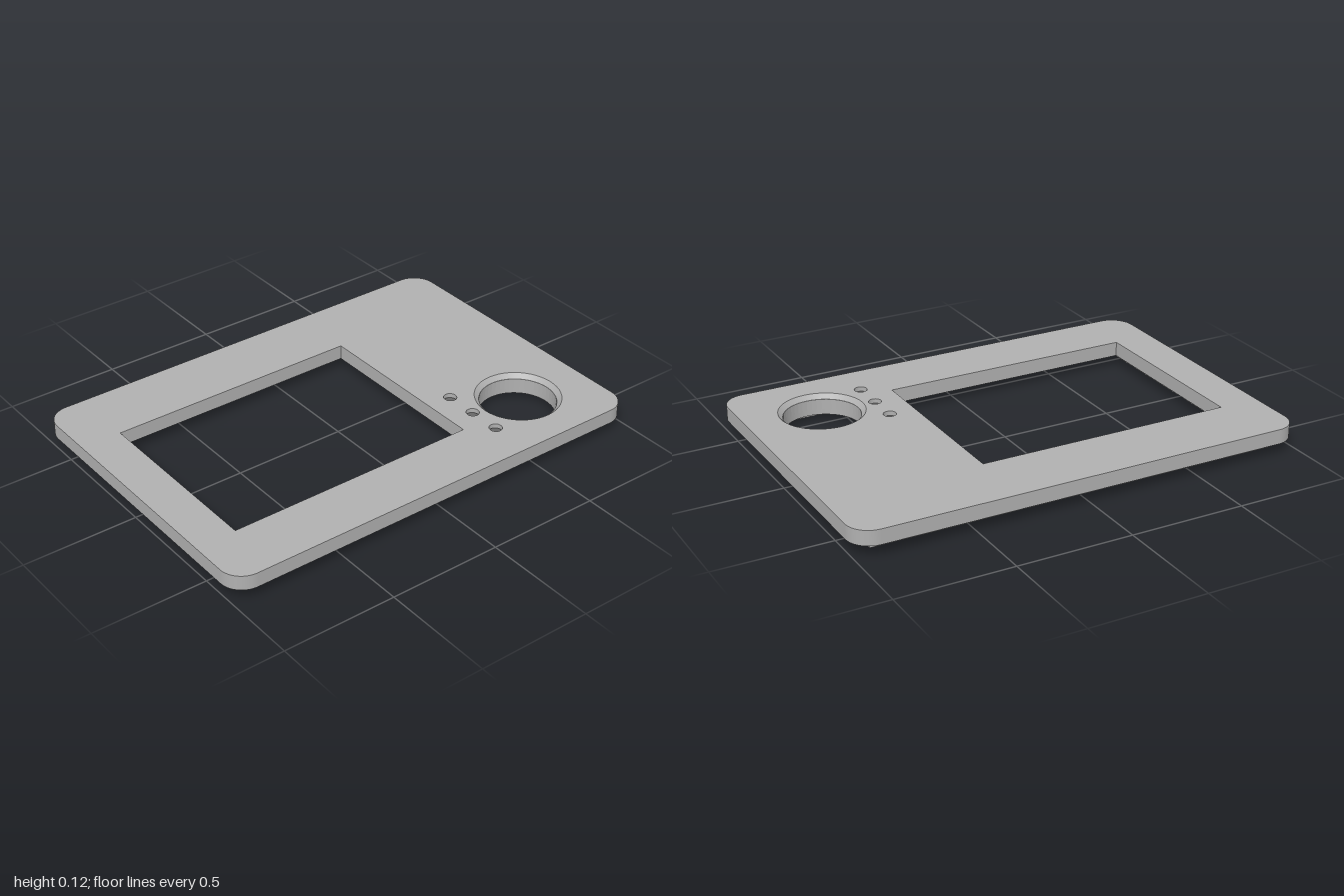
import * as THREE from 'three';

export function createModel() {
  const group = new THREE.Group();
  group.name = 'frontPanel';
  const grey = new THREE.MeshStandardMaterial({ color: 0xb0b0b0 });
  grey.name = 'grey';

  const BOTTOM = 0.05, STEP = 0.095, TOP = 0.115;
  const dial = { x: 0.665, z: 0.38 };
  const buttons = [0.215, 0.36, 0.505].map((z) => ({ x: 0.43, z }));

  function add(name, geometry, x = 0, y = 0, z = 0) {
    const mesh = new THREE.Mesh(geometry, grey);
    mesh.name = name;
    mesh.position.set(x, y, z);
    group.add(mesh);
  }
  const box = (name, x0, x1, y0, y1, z0, z1) =>
    add(name, new THREE.BoxGeometry(x1 - x0, y1 - y0, z1 - z0),
      (x0 + x1) / 2, (y0 + y1) / 2, (z0 + z1) / 2);

  // Turned surface with crisp edges: one band for each step of the profile
  function turned(name, profile, { x, z }) {
    for (let i = 0; i < profile.length - 1; i++) {
      const pts = [profile[i], profile[i + 1]].map((p) => new THREE.Vector2(...p));
      add(name, new THREE.LatheGeometry(pts, 48), x, 0, z);
    }
  }

  // Rounded slab with window, dial and button openings (shape y becomes z)
  function slab(name, y0, y1, dialRadius, buttonRadius) {
    const w = 1, d = 0.697, r = 0.1;
    const s = new THREE.Shape();
    s.absarc(w - r, d - r, r, 0, Math.PI / 2);
    s.absarc(-w + r, d - r, r, Math.PI / 2, Math.PI);
    s.absarc(-w + r, -d + r, r, Math.PI, Math.PI * 1.5);
    s.absarc(w - r, -d + r, r, Math.PI * 1.5, Math.PI * 2);
    s.closePath();
    const win = [[-0.82, -0.395], [-0.82, 0.435], [0.315, 0.435], [0.315, -0.395]];
    s.holes.push(new THREE.Path(win.map((p) => new THREE.Vector2(...p))));
    const hole = ({ x, z }, radius) =>
      s.holes.push(new THREE.Path().absarc(x, z, radius, 0, Math.PI * 2, true));
    hole(dial, dialRadius);
    buttons.forEach((b) => hole(b, buttonRadius));
    const g = new THREE.ExtrudeGeometry(s, { depth: y1 - y0, bevelEnabled: false, curveSegments: 24 });
    g.rotateX(Math.PI / 2);
    add(name, g, 0, y1, 0);
  }
  slab('upperPlate', STEP, TOP, 0.185, 0.028);
  slab('lowerPlate', BOTTOM, STEP, 0.164, 0.07);

  // Dial opening: chamfer above, collar below
  turned('dialChamfer', [[0.185, TOP], [0.165, STEP]], dial);
  turned('dialCollar', [[0.164, BOTTOM], [0.164, 0.025], [0.19, 0.025], [0.19, BOTTOM]], dial);

  // Button countersinks, widening towards the underside
  buttons.forEach((b) => turned('buttonCountersink', [[0.028, STEP], [0.07, BOTTOM]], b));

  // Fitting lip under the plate, with a small notch on one side
  const X = 0.912, Z = 0.615, T = 0.03;
  box('lipFront', -X, X, 0, BOTTOM, Z - T, Z);
  box('lipBack', -X, X, 0, BOTTOM, -Z, -Z + T);
  box('lipLeft', X - T, X, 0, BOTTOM, -Z + T, Z - T);
  box('lipRight', -X, -X + T, 0, BOTTOM, -Z + T, -0.02);
  box('lipRight', -X, -X + T, 0, BOTTOM, 0.02, Z - T);

  // Snap ridges on the outside of the lip
  const N = 0.007;
  for (const [z0, z1] of [[-0.29, -0.05], [0.13, 0.35]]) {
    box('snapRidge', X, X + N, 0.025, BOTTOM, z0, z1);
    box('snapRidge', -X - N, -X, 0.025, BOTTOM, z0, z1);
  }
  box('snapRidge', 0.02, 0.36, 0.025, BOTTOM, Z, Z + N);
  box('snapRidge', 0.02, 0.36, 0.025, BOTTOM, -Z - N, -Z);

  return group;
}
